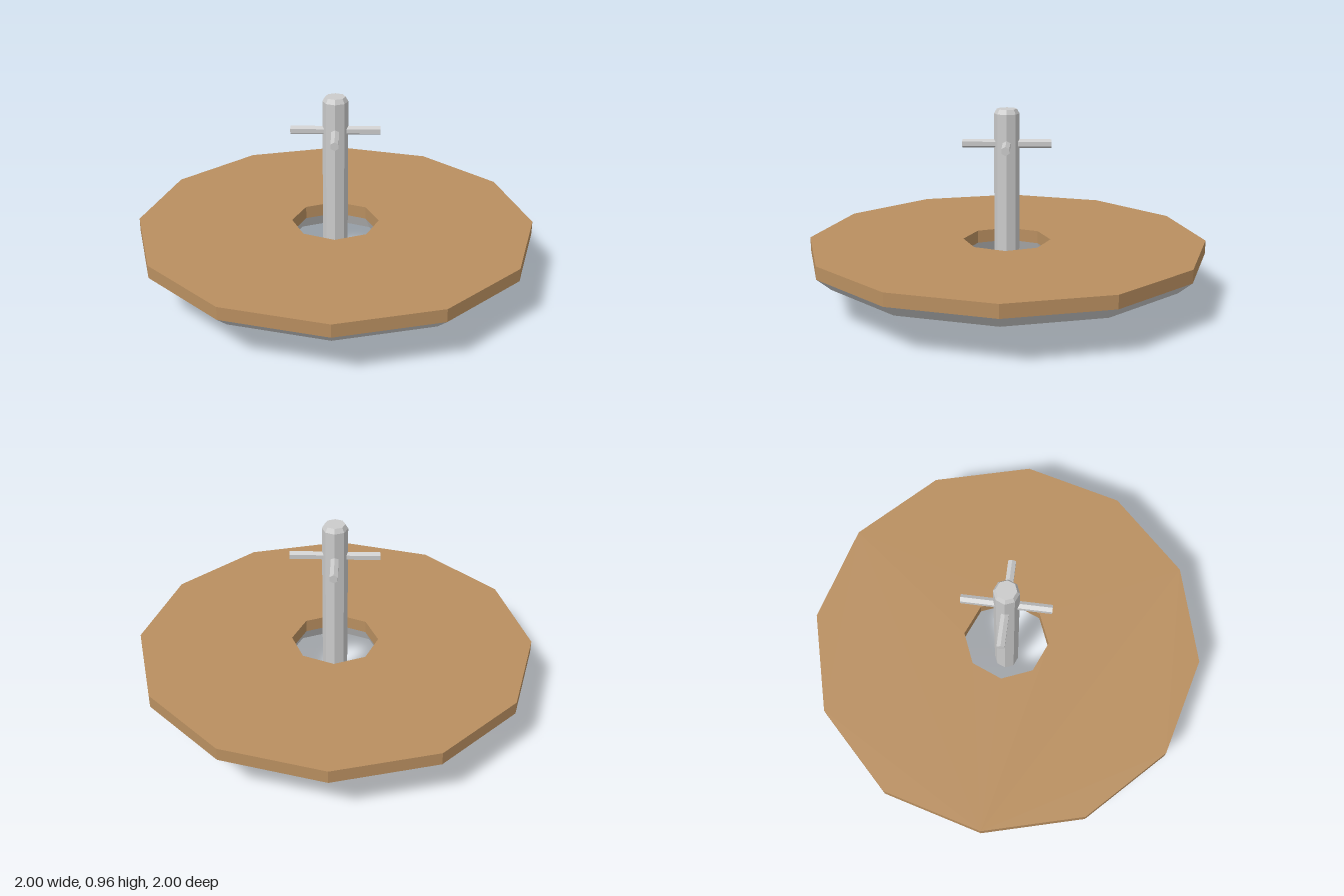
import * as THREE from 'three';

const grey = new THREE.MeshStandardMaterial({ color: 0xcccccc, flatShading: true, side: THREE.DoubleSide });
const wood = new THREE.MeshStandardMaterial({ color: 0xb98f60, flatShading: true, side: THREE.DoubleSide });

function add(parent, name, geometry, material, y = 0) {
  const mesh = new THREE.Mesh(geometry, material);
  mesh.name = name;
  mesh.position.y = y;
  parent.add(mesh);
  return mesh;
}

// open ring of flat walls between two heights
function wall(parent, name, rTop, rBottom, y0, y1, sides, material) {
  const g = new THREE.CylinderGeometry(rTop, rBottom, y1 - y0, sides, 1, true);
  return add(parent, name, g, material, (y0 + y1) / 2);
}

function polygon(radius, sides) {
  return Array.from({ length: sides }, (_, i) => {
    const a = (i / sides) * Math.PI * 2;
    return new THREE.Vector2(radius * Math.cos(a), radius * Math.sin(a));
  });
}

export function createModel() {
  const model = new THREE.Group();
  const bottom = 0.175, middle = 0.235, top = 0.3;

  // hollow disc, open underneath, with an octagonal hole
  const disc = new THREE.Group();
  disc.name = 'disc';
  model.add(disc);
  const face = new THREE.Shape(polygon(1, 12));
  face.holes.push(new THREE.Path(polygon(0.22, 8)));
  add(disc, 'discTop', new THREE.ShapeGeometry(face).rotateX(-Math.PI / 2), wood, top);
  wall(disc, 'outerRim', 1, 1, middle, top, 12, wood);
  wall(disc, 'outerBevel', 1, 0.93, bottom, middle, 12, grey);
  wall(disc, 'holeRim', 0.22, 0.22, middle, top, 8, wood);
  wall(disc, 'holeBevel', 0.22, 0.25, bottom, middle, 8, grey);

  // post with a bevelled top, open at the foot
  const profile = [[0.063, 0], [0.063, 0.94], [0.05, 0.963], [0, 0.963]];
  const post = new THREE.LatheGeometry(profile.map(([r, y]) => new THREE.Vector2(r, y)), 8);
  add(model, 'post', post, grey);

  // two crossed pegs through the post
  for (const [name, turn] of [['pegFrontBack', 0], ['pegSideways', Math.PI / 2]]) {
    const peg = new THREE.CylinderGeometry(0.022, 0.022, 0.44, 6).rotateX(Math.PI / 2).rotateY(turn);
    add(model, name, peg, grey, 0.79);
  }
  return model;
}
